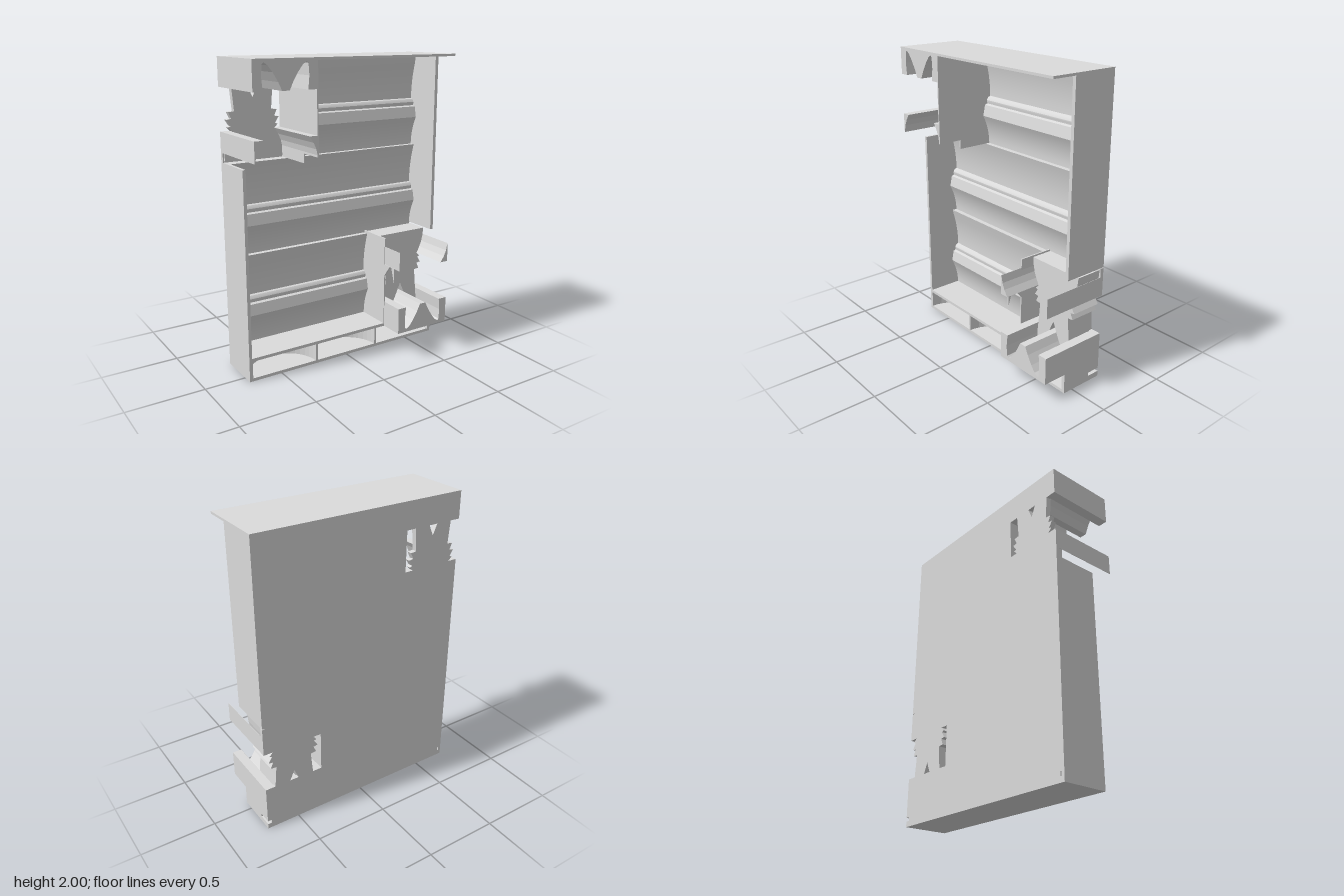
import * as THREE from 'three';
import { toCreasedNormals } from 'three/addons/utils/BufferGeometryUtils.js';

const BACK = -0.235, BODY = 0.07, FRONT = 0.235;

export function createModel() {
  const root = new THREE.Group();
  const grey = new THREE.MeshStandardMaterial({ color: 0xdbdbdb });
  grey.name = 'plain grey';

  const add = (name, geo, parent = root) => {
    const m = new THREE.Mesh(geo, grey);
    m.name = name;
    parent.add(m);
    return m;
  };
  // box from its minimum and maximum corners
  const box = (name, x0, x1, y0, y1, z0, z1, parent = root) => {
    const m = add(name, new THREE.BoxGeometry(x1 - x0, y1 - y0, z1 - z0), parent);
    m.position.set((x0 + x1) / 2, (y0 + y1) / 2, (z0 + z1) / 2);
  };
  const shapeOf = pts => new THREE.Shape(pts.map(p => new THREE.Vector2(p[0], p[1])));
  const extrude = (pts, depth) =>
    new THREE.ExtrudeGeometry(shapeOf(pts), { depth, bevelEnabled: false });
  const mirrored = pts => pts.map(([x, y]) => [-x, y]);

  // outer case
  box('topPanel', -0.728, 0.728, 1.985, 2, BACK, FRONT);
  box('rightWall', -0.728, -0.708, 0, 1.36, BACK, BODY);
  box('leftWall', 0.705, 0.728, 0.78, 1.99, BACK, BODY);

  // wavy back, one tier of the profile repeated: [height, z]
  const profile = [];
  for (let i = 0; i <= 8; i++) { // lower hollow curling forward
    const t = i / 8;
    profile.push([0.195 * t, -0.175 + 0.05 * t * t]);
  }
  profile.push([0.268, -0.14], [0.275, -0.16]); // first lip
  for (let i = 0; i <= 4; i++) { // second, rounded lip
    const t = i / 4;
    profile.push([0.278 + 0.04 * t, -0.16 + 0.008 * Math.sin(Math.PI * t) - 0.01 * t]);
  }
  for (let i = 0; i <= 8; i++) { // upper hollow
    const t = i / 8;
    profile.push([0.323 + 0.277 * t, -0.185 + 0.045 * t * t]);
  }
  const tiers = [[0.155, 0.605, -0.71, 0.31], [0.76, 0.6, -0.71, 0.71], [1.36, 0.626, -0.31, 0.71]];
  for (const [y0, h, x0, x1] of tiers) {
    const pts = [[-BACK, y0], [-BACK, y0 + h], [0.14, y0 + h]];
    for (const [y, z] of profile.slice(0, -1).reverse()) pts.push([-z, y0 + y]);
    const geo = toCreasedNormals(extrude(pts.reverse(), x1 - x0).rotateY(Math.PI / 2), 0.4);
    add('wavyBack', geo).position.x = x0;
  }

  // row of three round pockets along the base, with a small slot at each rear end
  box('baseFloor', -0.728, 0.728, 0, 0.02, BACK, BODY);
  box('baseCeiling', -0.728, 0.728, 0.135, 0.155, BACK, BODY);
  const front = [[-0.728, -BODY]];
  for (const cx of [-0.475, 0, 0.475]) {
    for (let i = 0; i <= 20; i++) {
      const a = Math.PI * (1 - i / 20);
      front.push([cx + 0.23 * Math.cos(a), -BODY + 0.23 * Math.sin(a)]);
    }
  }
  front.push([0.728, -BODY]);
  for (const [y0, y1, end] of [[0.02, 0.036, 0.728], [0.036, 0.06, 0.7], [0.06, 0.135, 0.728]]) {
    const rear = [[0.728, 0.145], [end, 0.146], [end, -BACK], [-end, -BACK], [-end, 0.146], [-0.728, 0.145]];
    add('pocketRow', extrude([...front, ...rear], y1 - y0).rotateX(-Math.PI / 2)).position.y = y0;
  }

  // long-eared silhouette, half outline from ear notch to foot
  const ear = [[0.024, 1.82], [0.048, 1.87], [0.082, 1.925], [0.112, 1.963], [0.137, 1.98],
    [0.148, 1.97], [0.153, 1.9], [0.145, 1.82]];
  const flank = [[0.132, 1.74], [0.126, 1.672], [0.165, 1.668], [0.147, 1.627], [0.178, 1.622],
    [0.152, 1.582], [0.17, 1.575], [0.145, 1.55]];
  const foot = [[0.15, 1.55], [0.177, 1.51], [0.195, 1.47], [0.206, 1.42]];
  // the silhouette sits slightly inside its frame
  const innerEar = ear.map(([x, y]) => [0.09 + (x - 0.09) * 0.9, 1.82 + (y - 1.82) * 0.925]);
  const innerFoot = foot.slice(1).map(([x, y]) => [x - 0.011, y]);
  const half = [[0, 1.75], ...innerEar, ...flank, ...innerFoot, [0.2, 1.37]];
  const whole = [...half, ...mirrored(half.slice(1)).reverse()];

  const corner = floorZ => {
    const g = new THREE.Group();
    g.name = 'silhouetteCorner';
    add('silhouette', extrude(whole, floorZ - BACK), g).position.z = BACK;
    // thin back behind the ears and the feet
    box('earBack', -0.208, 0.208, 1.82, 2, BACK, -0.21, g);
    box('footBack', -0.208, 0.208, 1.36, 1.55, BACK, -0.21, g);
    // frame pieces surrounding the ears and the feet
    const top = [[0, 2], [0, 1.82], ...ear, [0.208, 1.82], [0.208, 2]];
    const side = [...foot, [0.208, 1.42], [0.208, 1.55]];
    for (const flip of [false, true]) {
      for (const [name, pts] of [['earFrame', top], ['footFrame', side]]) {
        add(name, extrude(flip ? mirrored(pts) : pts, FRONT - BACK), g).position.z = BACK;
      }
    }
    // inner dividing wall
    box('divider', 0.203, 0.212, 1.36, 1.99, BACK, BODY, g);
    return g;
  };

  const upper = corner(-0.2);
  upper.position.x = -0.52;
  box('deepDivider', 0.203, 0.212, 1.42, 1.99, BODY, FRONT, upper);
  root.add(upper);

  const lower = corner(-0.025);
  lower.rotation.z = Math.PI;
  lower.position.set(0.52, 2.136, 0);
  root.add(lower);

  // thin spikes hanging beside the lower corner
  for (const [a, b, tipZ, tipY] of [[0.18, 0.145, 0.18, 0.48], [0.13, 0.07, 0.07, 0.51]]) {
    const geo = extrude([[-a, 0.59], [-tipZ, tipY], [-b, 0.59]], 0.009).rotateY(Math.PI / 2);
    add('spike', geo).position.x = 0.309;
  }
  return root;
}
